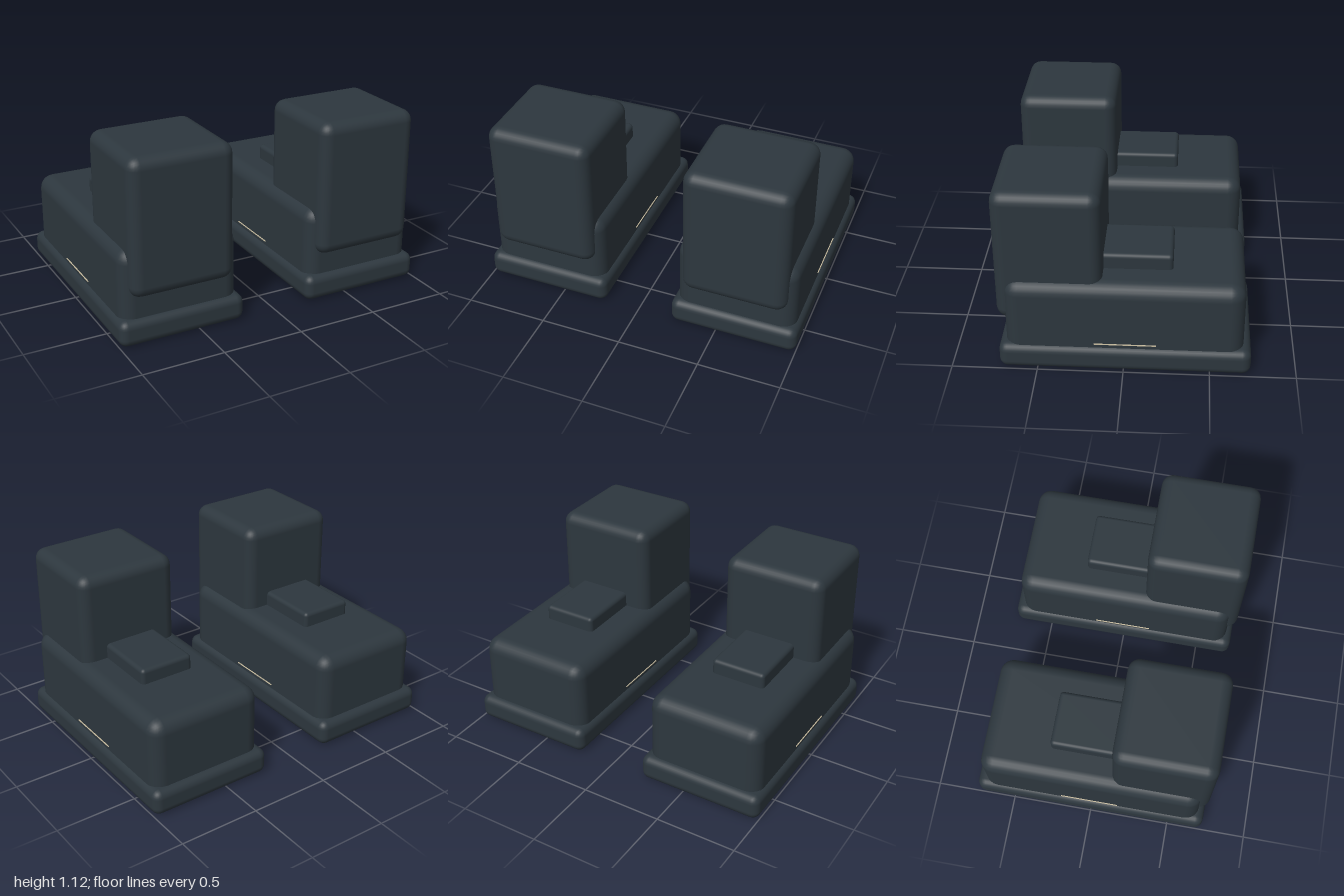
import * as THREE from 'three';
import { RoundedBoxGeometry } from 'three/addons/geometries/RoundedBoxGeometry.js';

const leather = new THREE.MeshStandardMaterial({ color: 0x2d373e });
leather.name = 'dark leather';
const stitching = new THREE.MeshStandardMaterial({ color: 0xc9bda0 });
stitching.name = 'pale trim';

// Rounded block given by its lower and upper corners
function block(name, min, max, radius) {
  const size = max.map((v, i) => v - min[i]);
  const mesh = new THREE.Mesh(new RoundedBoxGeometry(...size, 3, radius), leather);
  mesh.position.set(...max.map((v, i) => (v + min[i]) / 2));
  mesh.name = name;
  return mesh;
}

// One boot, centred on its own x = 0
function createBoot(name) {
  const boot = new THREE.Group();
  boot.name = name;
  boot.add(
    block('sole', [-0.393, 0, -0.737], [0.393, 0.16, 0.722], 0.05),
    block('foot', [-0.367, 0.06, -0.692], [0.367, 0.574, 0.684], 0.085),
    block('shaft', [-0.322, 0.29, 0.123], [0.322, 1.122, 0.737], 0.07),
    block('tongue', [-0.172, 0.5, -0.276], [0.172, 0.667, 0.2], 0.025)
  );

  // Thin welt line showing on both sides of the foot
  const welt = new THREE.Mesh(new THREE.BoxGeometry(0.745, 0.005, 0.36), stitching);
  welt.position.set(0, 0.18, -0.01);
  welt.name = 'weltTrim';
  boot.add(welt);
  return boot;
}

export function createModel() {
  const model = new THREE.Group();
  model.name = 'boots';
  for (const side of [-1, 1]) {
    const boot = createBoot(side > 0 ? 'leftBoot' : 'rightBoot');
    boot.position.x = side * 0.607;
    model.add(boot);
  }
  return model;
}
